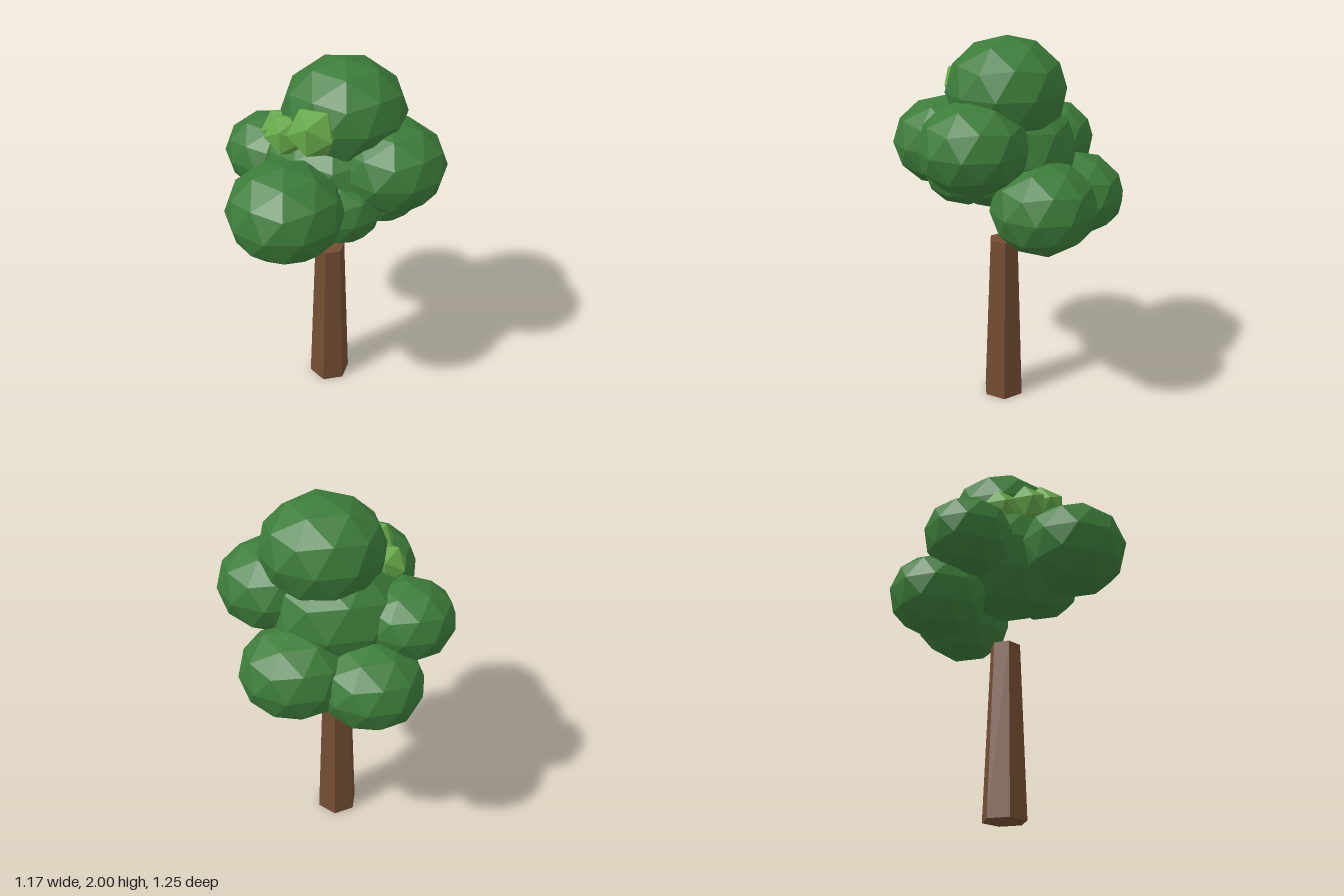
import * as THREE from 'three';

export function createModel() {
  const tree = new THREE.Group();
  tree.name = 'tree';

  const material = (name, color) => {
    const m = new THREE.MeshStandardMaterial({ color, flatShading: true });
    m.name = name;
    return m;
  };
  const bark = material('bark brown', 0x734d33);
  const leaf = material('leaf green', 0x3c7c3a);
  const lightLeaf = material('light leaf green', 0x65a648);

  // Tapered six-sided trunk
  const trunk = new THREE.Mesh(new THREE.CylinderGeometry(0.08, 0.115, 0.925, 6), bark);
  trunk.name = 'trunk';
  trunk.position.set(0, 0.4625, -0.06);
  tree.add(trunk);

  // Faceted ball turned so that one corner points straight up
  const ball = new THREE.IcosahedronGeometry(1, 1);
  ball.rotateZ(-Math.atan(2 / (1 + Math.sqrt(5))));

  // Slightly flattened foliage: name, centre, radii
  const foliage = [
    ['crownCore', [0, 1.415, -0.085], [0.36, 0.31, 0.35]],
    ['crownTop', [0.06, 1.735, -0.1], [0.312, 0.265, 0.3]],
    ['crownFront', [-0.095, 1.39, 0.34], [0.29, 0.245, 0.285]],
    ['crownLeft', [0.31, 1.5, -0.055], [0.284, 0.235, 0.275]],
    ['crownRight', [-0.35, 1.405, -0.155], [0.247, 0.205, 0.235]],
    ['crownBackLeft', [0.165, 1.2, -0.36], [0.279, 0.235, 0.265]],
    ['crownBackRight', [-0.205, 1.165, -0.37], [0.263, 0.222, 0.26]],
    ['crownUnderside', [0.1, 1.32, 0.11], [0.22, 0.19, 0.215]],
  ];
  for (const [name, position, radii] of foliage) {
    const mesh = new THREE.Mesh(ball, leaf);
    mesh.name = name;
    mesh.position.set(...position);
    mesh.scale.set(...radii);
    tree.add(mesh);
  }

  // Small bright leaf tufts around the upper crown
  const tuft = new THREE.IcosahedronGeometry(1, 0);
  const tufts = [
    [-0.01, 1.735, 0.16, 0.13],
    [-0.165, 1.67, 0.11, 0.11],
    [-0.235, 1.62, -0.02, 0.11],
  ];
  tufts.forEach(([x, y, z, r], i) => {
    const mesh = new THREE.Mesh(tuft, lightLeaf);
    mesh.name = `leafTuft${i + 1}`;
    mesh.position.set(x, y, z);
    mesh.scale.setScalar(r);
    tree.add(mesh);
  });

  return tree;
}
